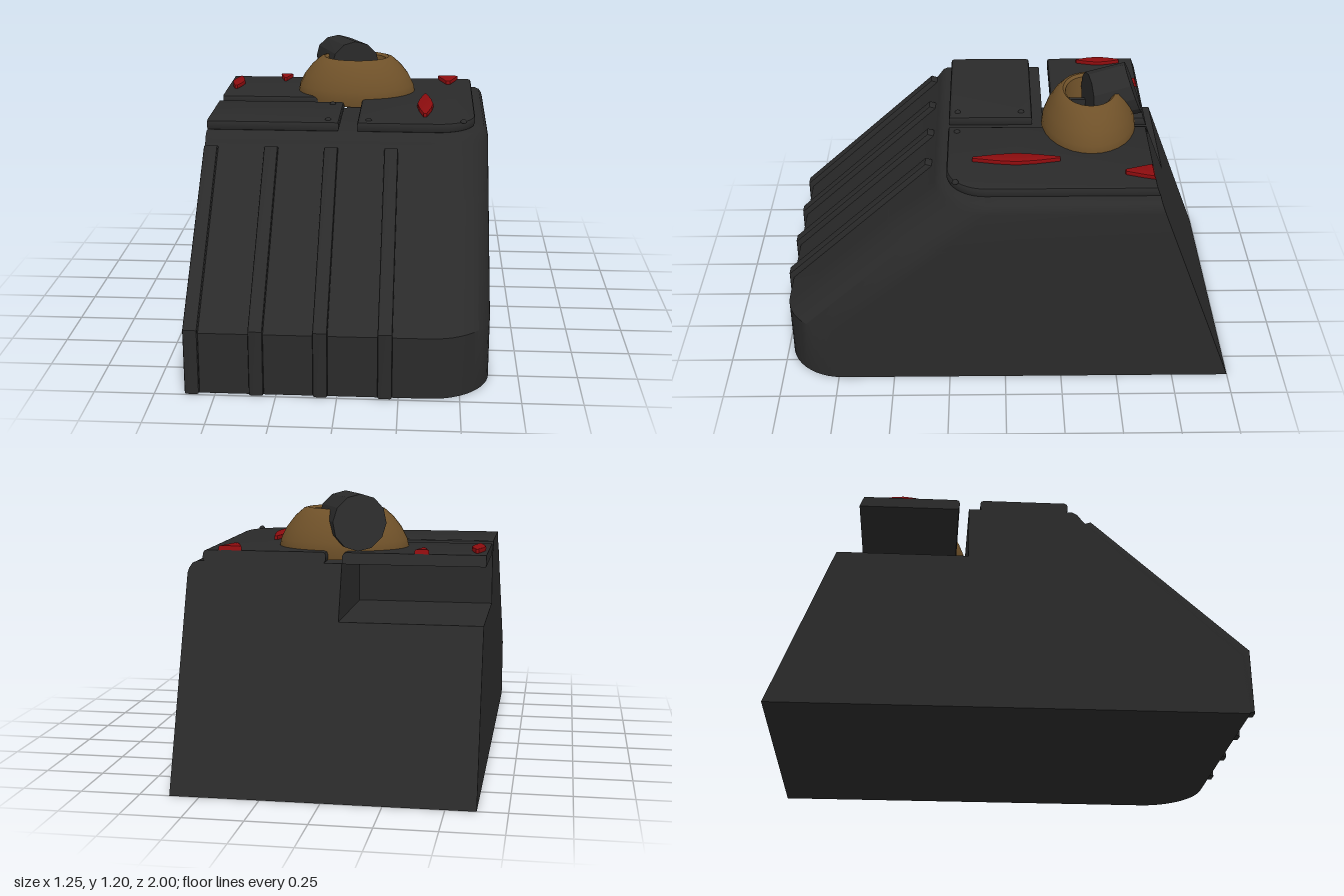
import * as THREE from 'three';
import { toCreasedNormals } from 'three/addons/utils/BufferGeometryUtils.js';

const SIDE = 0.625;                       // half width
const backZ = (y) => -1 + 0.38 * y;       // sloping rear plane

// Trim a geometry to the rear plane and the flat right side
function trim(geo) {
  const p = geo.attributes.position;
  for (let i = 0; i < p.count; i++) {
    p.setX(i, Math.max(p.getX(i), -SIDE));
    p.setZ(i, Math.max(p.getZ(i), backZ(p.getY(i))));
  }
  geo.computeVertexNormals();
  return geo;
}

// Footprint of the hull at one height, clockwise from above
function footprint([y, zf, inset], notched) {
  const pts = notched
    ? [[-SIDE, -0.18], [-0.03, -0.18], [-0.03, backZ(y)]]
    : [[-SIDE, backZ(y)]];
  const r = 0.25, right = SIDE - inset;
  pts.push([right, backZ(y)]);
  for (let i = 0; i <= 12; i++) {
    const a = (i / 12) * Math.PI / 2;
    pts.push([right - r + r * Math.cos(a), zf - r + r * Math.sin(a)]);
  }
  pts.push([-SIDE, zf]);
  return pts.map(([x, z]) => new THREE.Vector3(x, y, z));
}

// Skin between footprints, closed at both ends
function loft(levels, notched) {
  const rings = levels.map((l) => footprint(l, notched));
  const n = rings[0].length, pos = [];
  const tri = (a, b, c) => pos.push(...a, ...b, ...c);
  for (let k = 0; k < rings.length - 1; k++) {
    for (let i = 0; i < n; i++) {
      const j = (i + 1) % n, lo = rings[k], hi = rings[k + 1];
      tri(lo[i], hi[i], lo[j]);
      tri(lo[j], hi[i], hi[j]);
    }
  }
  for (const [ring, up] of [[rings[0], false], [rings[rings.length - 1], true]]) {
    const flat = ring.map((v) => new THREE.Vector2(v.x, v.z));
    for (const [i, j, k] of THREE.ShapeUtils.triangulateShape(flat, [])) {
      const [a, b, c] = [ring[i], ring[j], ring[k]];
      const ny = (b.z - a.z) * (c.x - a.x) - (b.x - a.x) * (c.z - a.z);
      if ((ny > 0) === up) tri(a, b, c); else tri(a, c, b);
    }
  }
  const geo = new THREE.BufferGeometry();
  geo.setAttribute('position', new THREE.Float32BufferAttribute(pos, 3));
  return toCreasedNormals(geo, 0.6);
}

// Bevelled slab from a plan outline (x, z), standing on height y
function slab(shape, y, height, bevel) {
  const geo = new THREE.ExtrudeGeometry(shape, {
    depth: height - 2 * bevel, bevelThickness: bevel, bevelSize: bevel,
    bevelOffset: -bevel, bevelSegments: 2, curveSegments: 10,
  });
  geo.rotateX(-Math.PI / 2).translate(0, y + bevel, 0);
  return toCreasedNormals(trim(geo), 0.5);
}

// Plan rectangle with an optional rounded front left corner
function plan(x0, x1, z0, z1, r = 0) {
  const s = new THREE.Shape();
  s.moveTo(x0, -z1);
  s.lineTo(x1 - r, -z1);
  if (r) s.absarc(x1 - r, -z1 + r, r, -Math.PI / 2, 0, false);
  s.lineTo(x1, -z0);
  s.lineTo(x0, -z0);
  s.closePath();
  return s;
}

export function createModel() {
  const model = new THREE.Group();
  model.name = 'slopedTurretHull';
  const mat = (name, color) => {
    const m = new THREE.MeshStandardMaterial({ color });
    m.name = name;
    return m;
  };
  const charcoal = mat('charcoal', 0x2a2a2a);
  const bronze = mat('bronze', 0x6f5129);
  const red = mat('red', 0x8c0c0e);
  const add = (name, geo, material) => {
    const mesh = new THREE.Mesh(geo, material);
    mesh.name = name;
    model.add(mesh);
    return mesh;
  };

  // Hull: solid below, rear right corner cut away above
  const slopeZ = (y) => 0.98 - (y - 0.265) * (0.66 / 0.605);
  add('lowerHull', loft([[0, 0.98, 0], [0.265, 0.98, 0], [0.69, slopeZ(0.69), 0]], false), charcoal);
  add('upperHull', loft([[0.69, slopeZ(0.69), 0], [0.87, 0.32, 0],
    [0.89, 0.305, 0.005], [0.91, 0.29, 0.018], [0.92, 0.27, 0.04]], true), charcoal);

  // Deck plates
  add('frontRightPlate', slab(plan(-0.66, -0.04, -0.13, 0.25), 0.918, 0.046, 0.014), charcoal);
  add('rearRightPlate', slab(plan(-0.66, -0.03, -0.72, -0.22), 0.918, 0.046, 0.014), charcoal);
  add('leftPlate', slab(plan(0.04, 0.565, -0.72, 0.25, 0.17), 0.918, 0.046, 0.014), charcoal);

  // Rivets
  for (const [x, z] of [[-0.09, -0.08], [-0.09, 0.21], [0.09, 0.21], [0.51, 0.21]]) {
    const geo = new THREE.SphereGeometry(0.015, 10, 4, 0, Math.PI * 2, 0, Math.PI / 2);
    add('rivet', geo, charcoal).position.set(x, 0.96, z);
  }

  // Front ribs following the slope
  const ribShape = new THREE.Shape([[0.96, 0.003], [1, 0.003], [1, 0.285], [0.35, 0.878],
    [0.31, 0.865], [0.96, 0.25]].map(([z, y]) => new THREE.Vector2(z, y)));
  for (const x of [-0.595, -0.33, -0.068, 0.195]) {
    const geo = new THREE.ExtrudeGeometry(ribShape, {
      depth: 0.044, bevelThickness: 0.008, bevelSize: 0.008, bevelOffset: -0.008, bevelSegments: 2,
    });
    geo.rotateY(-Math.PI / 2).translate(x + 0.022, 0, 0);
    add('frontRib', toCreasedNormals(geo, 0.5), charcoal);
  }

  // Red tapered markers: x, centre z, half length, width
  for (const [x, z, h, w] of [[0.34, -0.05, 0.19, 0.075], [-0.583, -0.465, 0.105, 0.06],
    [-0.36, -0.65, 0.11, 0.06], [0.45, -0.65, 0.14, 0.1]]) {
    const pts = [[0.2, -1], [0.75, -0.45], [1, 0], [0.75, 0.45], [0.2, 1],
      [-0.2, 1], [-0.75, 0.45], [-1, 0], [-0.75, -0.45], [-0.2, -1]];
    const s = new THREE.Shape(pts.map(([u, v]) => new THREE.Vector2(x + u * w / 2, -z + v * h)));
    add('redMarker', slab(s, 0.955, 0.027, 0.006), red);
  }

  // Oval turret ring with a hollow centre
  const profile = [[0.275, 0.925], [0.282, 0.96], [0.275, 0.995], [0.25, 1.045], [0.215, 1.09],
    [0.175, 1.125], [0.155, 1.13], [0.14, 1.12], [0.13, 1.0]].map(([r, y]) => new THREE.Vector2(r, y));
  const ring = new THREE.LatheGeometry(profile, 32);
  ring.scale(1, 1, 0.75).translate(0.005, 0, -0.38);
  add('turretRing', toCreasedNormals(trim(ring), 0.6), bronze);
  const well = new THREE.CylinderGeometry(0.135, 0.135, 0.06, 24);
  well.scale(1, 1, 0.75).translate(0.005, 0.98, -0.38);
  add('turretWell', well, charcoal);
  for (const x of [-0.045, 0.055]) {
    add('wellBar', new THREE.BoxGeometry(0.02, 0.05, 0.16), charcoal).position.set(x, 1.03, -0.36);
  }

  // Faceted barrel, cut off by the rear plane
  const barrel = new THREE.CylinderGeometry(0.115, 0.115, 0.5, 12);
  barrel.rotateX(Math.PI / 2).translate(0, 0, -0.25);
  barrel.rotateY(0.19).translate(0, 1.085, -0.375);
  add('barrel', toCreasedNormals(trim(barrel), 0.3), charcoal);

  return model;
}
